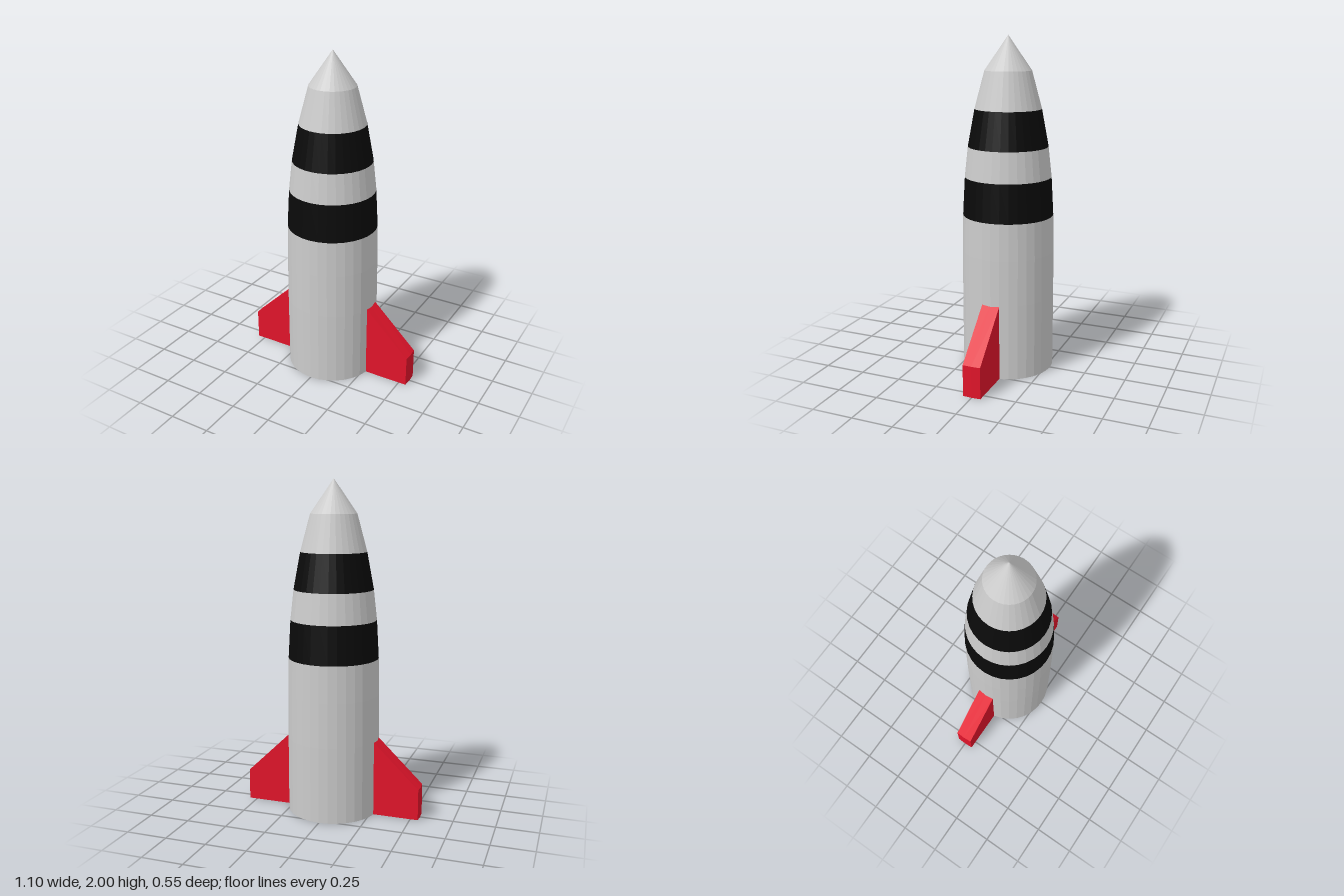
import * as THREE from 'three';

const SIDES = 32;
const material = (color) => new THREE.MeshStandardMaterial({ color, flatShading: true });

export function createModel() {
  const group = new THREE.Group();
  const grey = material(0xcccccc);
  const black = material(0x0a0a0a);
  const red = material(0xe0142a);

  // Adds one faceted turned section from [radius, height] pairs
  const addSection = (name, mat, profile) => {
    const points = profile.map(([r, y]) => new THREE.Vector2(r, y));
    const mesh = new THREE.Mesh(new THREE.LatheGeometry(points, SIDES), mat);
    mesh.name = name;
    group.add(mesh);
  };

  // Hull, from the recessed exhaust up to the tip
  addSection('exhaustCeiling', black, [[0, 0.08], [0.222, 0.08]]);
  addSection('exhaustWall', grey, [[0.222, 0.08], [0.222, 0]]);
  addSection('bottomRim', grey, [[0.222, 0], [0.277, 0]]);
  addSection('body', grey, [[0.277, 0], [0.277, 0.46], [0.275, 0.73], [0.271, 0.95]]);
  addSection('lowerBand', black, [[0.271, 0.95], [0.258, 1.18]]);
  addSection('middleBody', grey, [[0.258, 1.18], [0.238, 1.36]]);
  addSection('upperBand', black, [[0.238, 1.36], [0.197, 1.58]]);
  addSection('noseCone', grey, [[0.197, 1.58], [0.138, 1.8], [0, 2]]);

  // Fin: sloped plate with a slightly bowed outer edge
  const outline = new THREE.Shape([
    new THREE.Vector2(0.262, 0.001),
    new THREE.Vector2(0.547, 0.001),
    new THREE.Vector2(0.547, 0.19),
    new THREE.Vector2(0.262, 0.465),
  ]);
  const finGeometry = new THREE.ExtrudeGeometry(outline, { depth: 0.108, steps: 2, bevelEnabled: false });
  finGeometry.translate(0, 0, -0.054);
  const pos = finGeometry.attributes.position;
  for (let i = 0; i < pos.count; i++) {
    if (pos.getX(i) > 0.5 && Math.abs(pos.getZ(i)) < 0.01) pos.setX(i, 0.55);
  }
  finGeometry.computeVertexNormals();

  // One fin on each side
  ['leftFin', 'rightFin'].forEach((name, i) => {
    const fin = new THREE.Mesh(finGeometry, red);
    fin.name = name;
    fin.rotation.y = i * Math.PI;
    group.add(fin);
  });

  return group;
}
